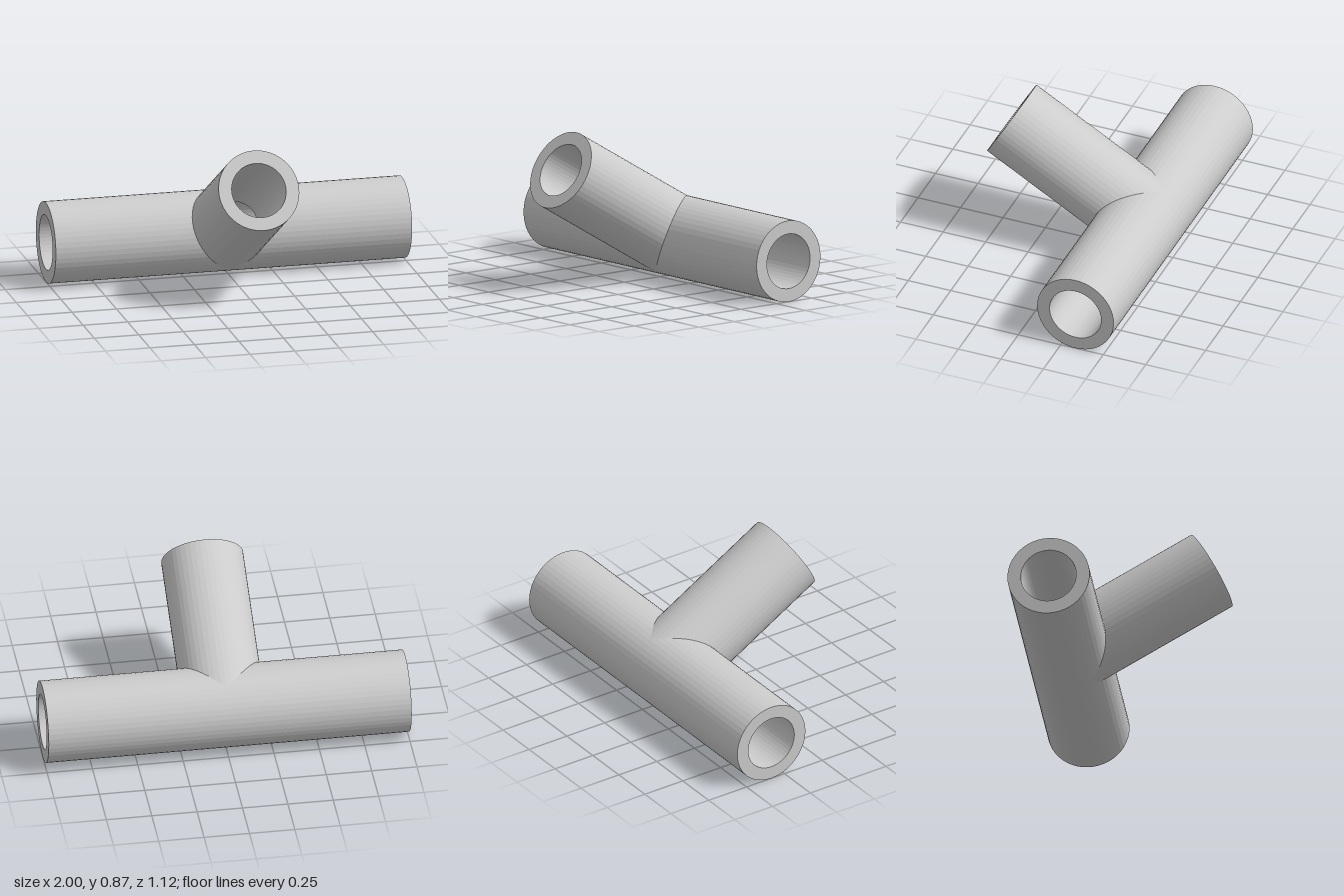
import * as THREE from 'three';

const OUTER = 0.225, BORE = 0.152, SIDES = 48;
const RUN = 1, BRANCH = 0.905; // limb lengths measured from the joint centre

// Hollow limb along +y; its root is mitred so that equal-sized limbs meet exactly.
// mitre(s) gives the root height per unit radius, s being the sine of the angle about the axis.
function limb(name, length, mitre, material) {
  const profile = [[OUTER, 0], [OUTER, length], [BORE, length], [BORE, 0]]
    .map(([r, y]) => new THREE.Vector2(r, y));
  const geometry = new THREE.LatheGeometry(profile, SIDES);
  const p = geometry.attributes.position;
  for (let i = 0; i < p.count; i++) {
    if (p.getY(i) === 0) {
      const x = p.getX(i);
      p.setY(i, mitre(x));
    }
  }
  geometry.computeVertexNormals();
  const mesh = new THREE.Mesh(geometry, material);
  mesh.name = name;
  return mesh;
}

export function createModel() {
  const material = new THREE.MeshStandardMaterial({ color: 0xcccccc, flatShading: true });

  // Joint frame: the run lies along x, the branch rises along y
  const joint = new THREE.Group();
  joint.name = 'pipeTee';

  // Two halves of the straight run, cut away on the branch side
  for (const side of [1, -1]) {
    const half = limb(side > 0 ? 'leftRunPipe' : 'rightRunPipe', RUN,
      x => Math.max(0, -side * x), material);
    half.rotation.z = -side * Math.PI / 2;
    joint.add(half);
  }

  // Branch with a saddle-shaped root, its bore opening into the run
  joint.add(limb('branchPipe', BRANCH, x => Math.abs(x), material));

  // Tip the branch forward, 30 degrees above level
  joint.rotation.x = Math.PI / 3;
  joint.position.set(0, OUTER, -0.336);

  const model = new THREE.Group();
  model.name = 'pipeFitting';
  model.add(joint);
  return model;
}
